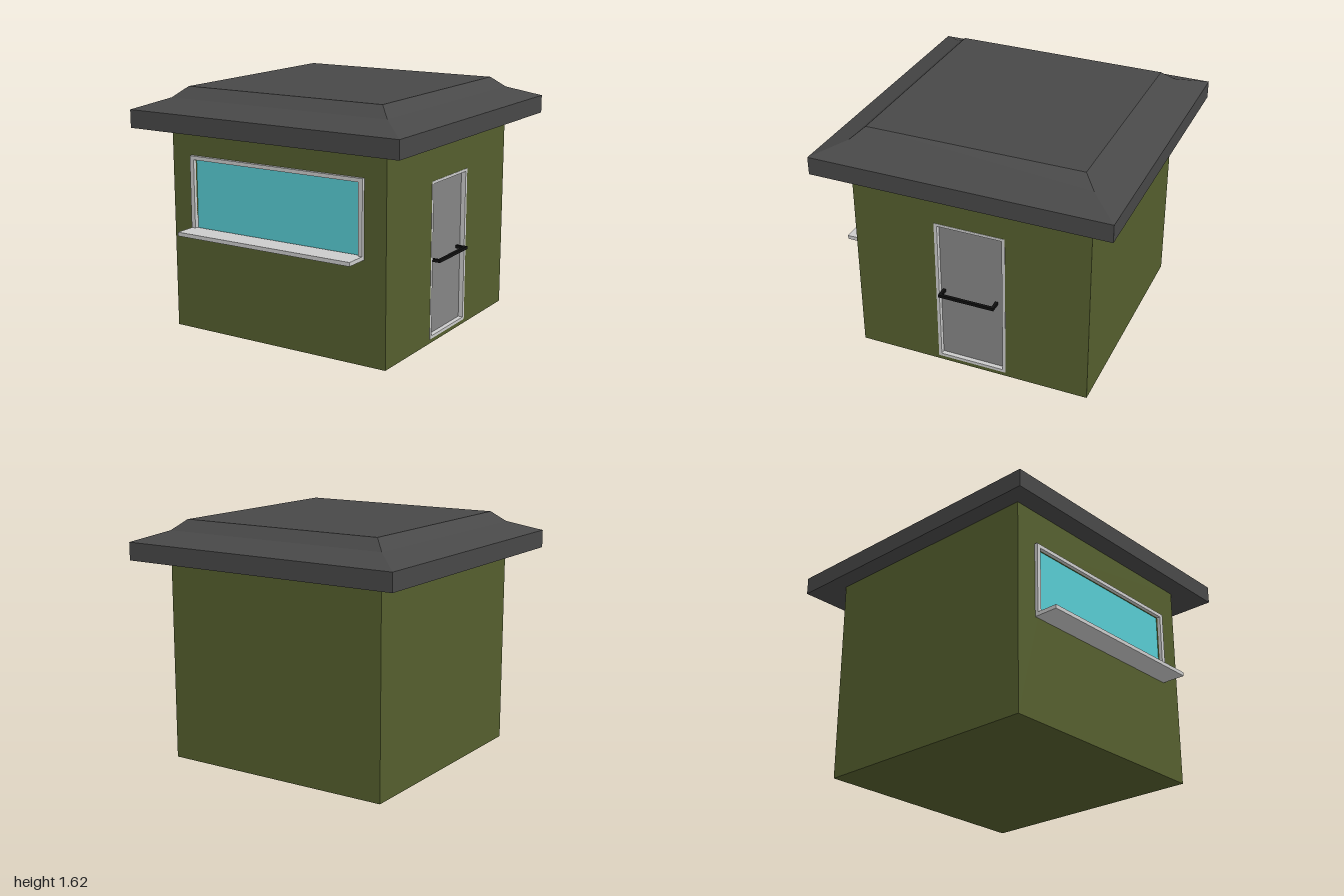
import * as THREE from 'three';

const paint = (color) => new THREE.MeshStandardMaterial({ color, flatShading: true });

// Rectangle outline from x0,y0 to x1,y1
function rect(Type, x0, y0, x1, y1) {
  const p = new Type();
  p.moveTo(x0, y0);
  p.lineTo(x1, y0);
  p.lineTo(x1, y1);
  p.lineTo(x0, y1);
  p.closePath();
  return p;
}

// Flat panel with an optional opening; its outer face lies at z = front
function panel(name, material, outer, hole, front, depth) {
  const shape = rect(THREE.Shape, ...outer);
  if (hole) shape.holes.push(rect(THREE.Path, ...hole));
  const geometry = new THREE.ExtrudeGeometry(shape, { depth, bevelEnabled: false });
  geometry.translate(0, 0, front - depth);
  const mesh = new THREE.Mesh(geometry, material);
  mesh.name = name;
  return mesh;
}

function box(name, material, size, position) {
  const mesh = new THREE.Mesh(new THREE.BoxGeometry(...size), material);
  mesh.name = name;
  mesh.position.set(...position);
  return mesh;
}

export function createModel() {
  const model = new THREE.Group();
  model.name = 'guardBooth';

  const green = paint(0x555f2e);
  const roofGrey = paint(0x484848);
  const trim = paint(0xcccccc);
  const doorGrey = paint(0x868686);
  const glass = paint(0x57cbd2);
  const black = paint(0x101010);

  const W = 0.81;      // half width of the walls
  const T = 0.06;      // wall thickness
  const H = 1.42;      // wall height, up into the hollow eaves
  const wide = [-W, 0, W, H];
  const narrow = [-W + T, 0, W - T, H];

  // Walls and floor
  const windowHole = [-0.625, 0.7, 0.625, 1.16];
  const doorHole = [-0.243, 0.027, 0.243, 1.075];
  const right = new THREE.Group();
  right.name = 'doorSide';
  right.rotation.y = Math.PI / 2;
  const backWall = panel('backWall', green, wide, null, W, T);
  backWall.rotation.y = Math.PI;
  const farWall = panel('plainSideWall', green, narrow, null, W, T);
  farWall.rotation.y = -Math.PI / 2;
  model.add(panel('frontWall', green, wide, windowHole, W, T), backWall, farWall);
  model.add(box('floor', green, [2 * (W - T), 0.04, 2 * (W - T)], [0, 0.02, 0]));

  // Window with a raised frame and a deep sill
  model.add(
    panel('windowFrame', trim, [-0.655, 0.68, 0.655, 1.185], windowHole, 0.832, 0.04),
    panel('windowGlass', glass, windowHole, null, 0.8, 0.02),
    box('windowSill', trim, [1.31, 0.026, 0.165], [0, 0.691, 0.8925])
  );

  // Door set back in a frame level with the wall
  const inner = [-0.222, 0.047, 0.222, 1.057];
  right.add(
    panel('doorWall', green, narrow, doorHole, W, T),
    panel('doorFrame', trim, doorHole, inner, W + 0.002, 0.05),
    panel('door', doorGrey, inner, null, 0.78, 0.02)
  );

  // Bar handle on two posts; local x here is the model's -z
  const handle = new THREE.Group();
  handle.name = 'doorHandle';
  handle.add(box('handleBar', black, [0.39, 0.02, 0.02], [-0.015, 0.552, 0.847]));
  for (const x of [-0.2, 0.17]) {
    handle.add(box('handlePost', black, [0.02, 0.02, 0.065], [x, 0.552, 0.808]));
  }
  right.add(handle);
  model.add(right);

  // Square stepped roof with sloping eaves
  const profile = [
    [0, H], [W, H], [1, 1.36], [1, 1.48], [W, 1.55], [0.73, 1.62], [0, 1.62],
  ].map(([r, y]) => new THREE.Vector2(r * Math.SQRT2, y));
  const roof = new THREE.Mesh(new THREE.LatheGeometry(profile, 4, Math.PI / 4), roofGrey);
  roof.name = 'roof';
  model.add(roof);

  return model;
}
